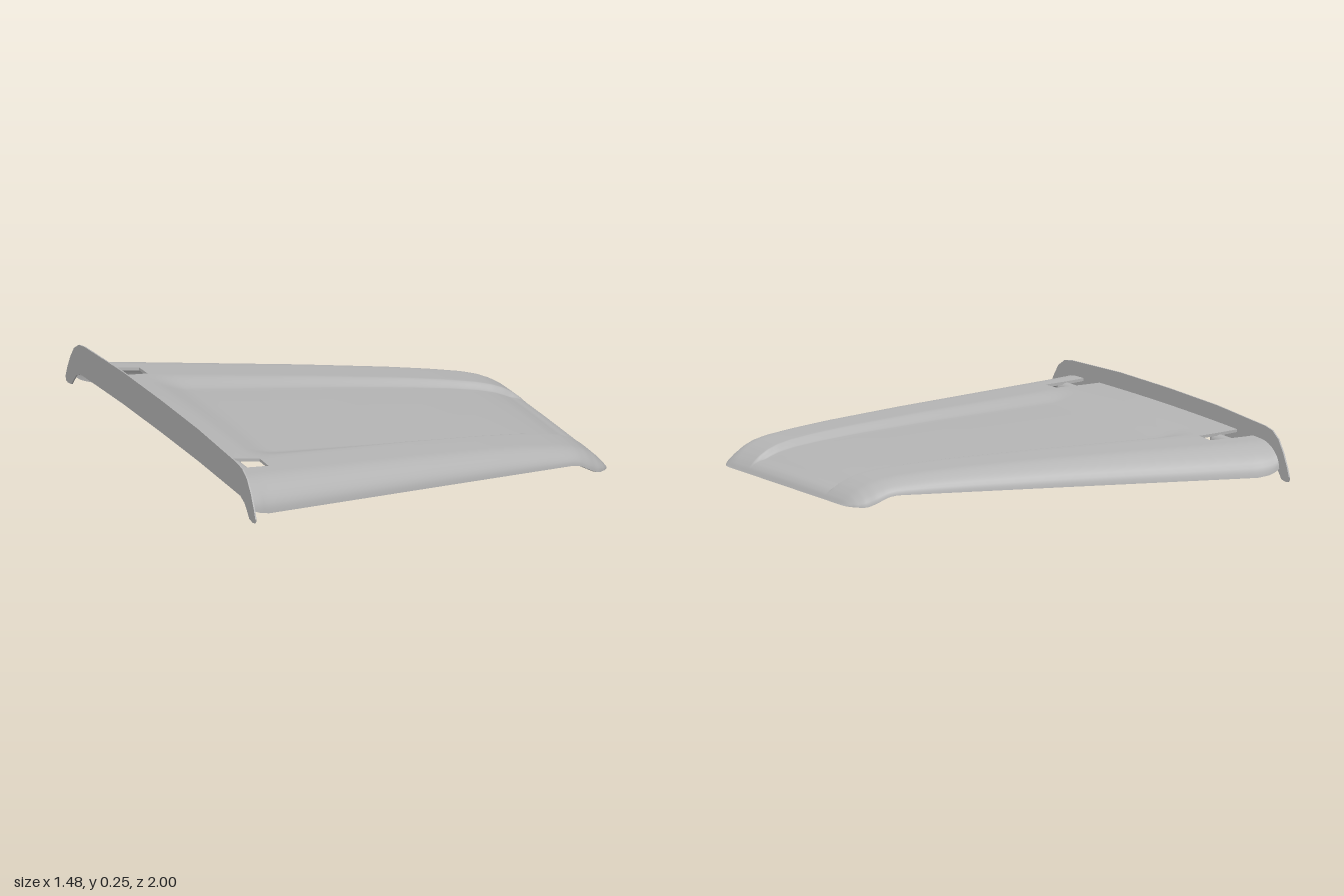
import * as THREE from 'three';

// Piecewise-linear lookup in [x, value] pairs
function curve(points) {
  return (x) => {
    let i = 0;
    while (i < points.length - 2 && x > points[i + 1][0]) i++;
    const [x0, y0] = points[i], [x1, y1] = points[i + 1];
    return THREE.MathUtils.lerp(y0, y1, THREE.MathUtils.clamp((x - x0) / (x1 - x0), 0, 1));
  };
}
const smooth = THREE.MathUtils.smoothstep;
const lerp = THREE.MathUtils.lerp;

// Outline of the panel along its length
const topY = curve([[-0.735, 0.19], [-0.5, 0.178], [0, 0.152], [0.3, 0.132], [0.45, 0.118], [0.55, 0.105],
  [0.61, 0.092], [0.65, 0.078], [0.685, 0.058], [0.71, 0.037], [0.727, 0.018], [0.738, 0]]);
const edgeY = curve([[-0.735, 0.095], [-0.71, 0.078], [-0.66, 0.067], [0, 0.054], [0.58, 0.042],
  [0.61, 0.036], [0.65, 0.015], [0.675, 0.003], [0.69, 0]]);
const halfWidth = curve([[-0.735, 0.918], [-0.7, 0.92], [0.65, 0.572], [0.69, 0.555], [0.715, 0.535],
  [0.73, 0.51], [0.738, 0.48]]);
const rollWidth = curve([[-0.7, 0.16], [0.6, 0.1], [0.738, 0.09]]);
// Recess edges and outer notch edge across the panel
const recessInner = curve([[-0.735, 0.42], [-0.45, 0.42], [0.68, 0.315], [0.738, 0.31]]);
const recessOuter = curve([[-0.735, 0.57], [-0.58, 0.59], [-0.5, 0.56], [0.68, 0.335], [0.738, 0.325]]);
const notchOuter = curve([[-0.735, 0.7], [-0.58, 0.68], [0.68, 0.43], [0.738, 0.36]]);
const NOTCH_END = -0.58;

function panelPoint(x, band, t, side) {
  const w = halfWidth(x), r = rollWidth(x), b = edgeY(x), T = topY(x);
  const knots = [0, recessInner(x), recessOuter(x), notchOuter(x), w - r];
  const crown = 0.1 * (T - b);
  if (band === 4) {
    const a = t * Math.PI / 2;
    return [x, b + (T - crown - b) * Math.cos(a), side * (w - r + r * Math.sin(a))];
  }
  const z = lerp(knots[band], knots[band + 1], t);
  const depth = 0.024 * smooth(x, -0.62, -0.48) * (1 - smooth(x, 0.65, 0.73));
  const dip = depth * (1 - smooth(z, knots[1], knots[2]));
  return [x, T - crown * (z / (w - r)) ** 2 - dip, side * z];
}

// Gives an indexed sheet a thickness and closes its open edges
function thicken(positions, index, thickness) {
  const sheet = new THREE.BufferGeometry();
  sheet.setAttribute('position', new THREE.Float32BufferAttribute(positions, 3));
  sheet.setIndex(index);
  sheet.computeVertexNormals();
  const n = sheet.attributes.normal.array, count = positions.length / 3;
  const pos = positions.slice(), idx = index.slice();
  for (let i = 0; i < positions.length; i++) pos.push(positions[i] - n[i] * thickness);
  for (let i = 1; i < pos.length; i += 3) pos[i] = Math.max(0, pos[i]);
  const edges = new Set();
  for (let i = 0; i < index.length; i += 3) {
    const [a, b, c] = index.slice(i, i + 3);
    idx.push(count + a, count + c, count + b);
    for (const e of [[a, b], [b, c], [c, a]]) edges.add(e.join());
  }
  for (const e of edges) {
    const [a, b] = e.split(',').map(Number);
    if (edges.has(`${b},${a}`)) continue;
    const s = pos.length / 3;
    for (const v of [a, b, count + a, count + b]) pos.push(pos[3 * v], pos[3 * v + 1], pos[3 * v + 2]);
    idx.push(s, s + 2, s + 1, s + 1, s + 2, s + 3);
  }
  const geometry = new THREE.BufferGeometry();
  geometry.setAttribute('position', new THREE.Float32BufferAttribute(pos, 3));
  geometry.setIndex(idx);
  geometry.computeVertexNormals();
  return geometry;
}

function panelGeometry() {
  // Stations along x, closer together at the rolled nose
  const xs = [];
  for (let i = 0; i < 8; i++) xs.push(lerp(-0.735, NOTCH_END, i / 8));
  for (let i = 0; i < 40; i++) xs.push(lerp(NOTCH_END, 0.58, i / 40));
  for (let i = 0; i <= 22; i++) xs.push(lerp(0.58, 0.738, Math.sin(i / 22 * Math.PI / 2)));
  // Columns from the -z edge to the +z edge
  const half = [];
  [10, 8, 5, 3, 10].forEach((steps, band) => {
    for (let k = band ? 1 : 0; k <= steps; k++) half.push([band, k / steps]);
  });
  const columns = [...half.slice(1).reverse().map((c) => [...c, -1]), ...half.map((c) => [...c, 1])];
  const pos = [], idx = [], n = columns.length;
  xs.forEach((x) => columns.forEach(([band, t, side]) => pos.push(...panelPoint(x, band, t, side))));
  for (let i = 0; i < xs.length - 1; i++) {
    for (let j = 0; j < n - 1; j++) {
      // Leave the two notches open
      const cell = columns[j][2] < 0 ? columns[j] : columns[j + 1];
      if (cell[0] === 2 && i < 8) continue;
      const a = i * n + j;
      idx.push(a, a + 1, a + n, a + 1, a + n + 1, a + n);
    }
  }
  return thicken(pos, idx, 0.01);
}

function endPlateGeometry() {
  // Half outline, mirrored: over the top, then back along the underside
  const upper = [[0.4, 0.245], [0.8, 0.23], [0.86, 0.222], [0.91, 0.198], [0.95, 0.155], [0.98, 0.11],
    [0.998, 0.075], [0.992, 0.06], [0.975, 0.056]];
  const lower = [[0.935, 0.06], [0.915, 0.08], [0.885, 0.105], [0.84, 0.12], [0.4, 0.13]];
  const side = [...upper, ...lower];
  const outline = [[0, 0.248], ...side, [0, 0.132], ...side.slice().reverse().map(([z, y]) => [-z, y])];
  const shape = new THREE.Shape(outline.map(([z, y]) => new THREE.Vector2(z, y)));
  return new THREE.ExtrudeGeometry(shape, { depth: 0.005, bevelEnabled: false }).rotateY(-Math.PI / 2);
}

export function createModel() {
  const group = new THREE.Group();
  const grey = new THREE.MeshStandardMaterial({ color: 0xb4b4b4, side: THREE.DoubleSide });
  grey.name = 'grey';
  const add = (name, geometry, x = 0, y = 0, z = 0) => {
    const mesh = new THREE.Mesh(geometry, grey);
    mesh.name = name;
    mesh.position.set(x, y, z);
    group.add(mesh);
  };

  add('panel', panelGeometry());
  add('endPlate', endPlateGeometry(), -0.735);

  // Hinge pins below the notches, held by small tabs
  for (const s of [-1, 1]) {
    add('hingePin', new THREE.CylinderGeometry(0.024, 0.024, 0.17, 20).rotateX(Math.PI / 2), -0.665, 0.148, s * 0.635);
    for (const z of [0.555, 0.715]) {
      add('hingeTab', new THREE.BoxGeometry(0.05, 0.045, 0.012), -0.665, 0.148, s * z);
    }
  }
  return group;
}
